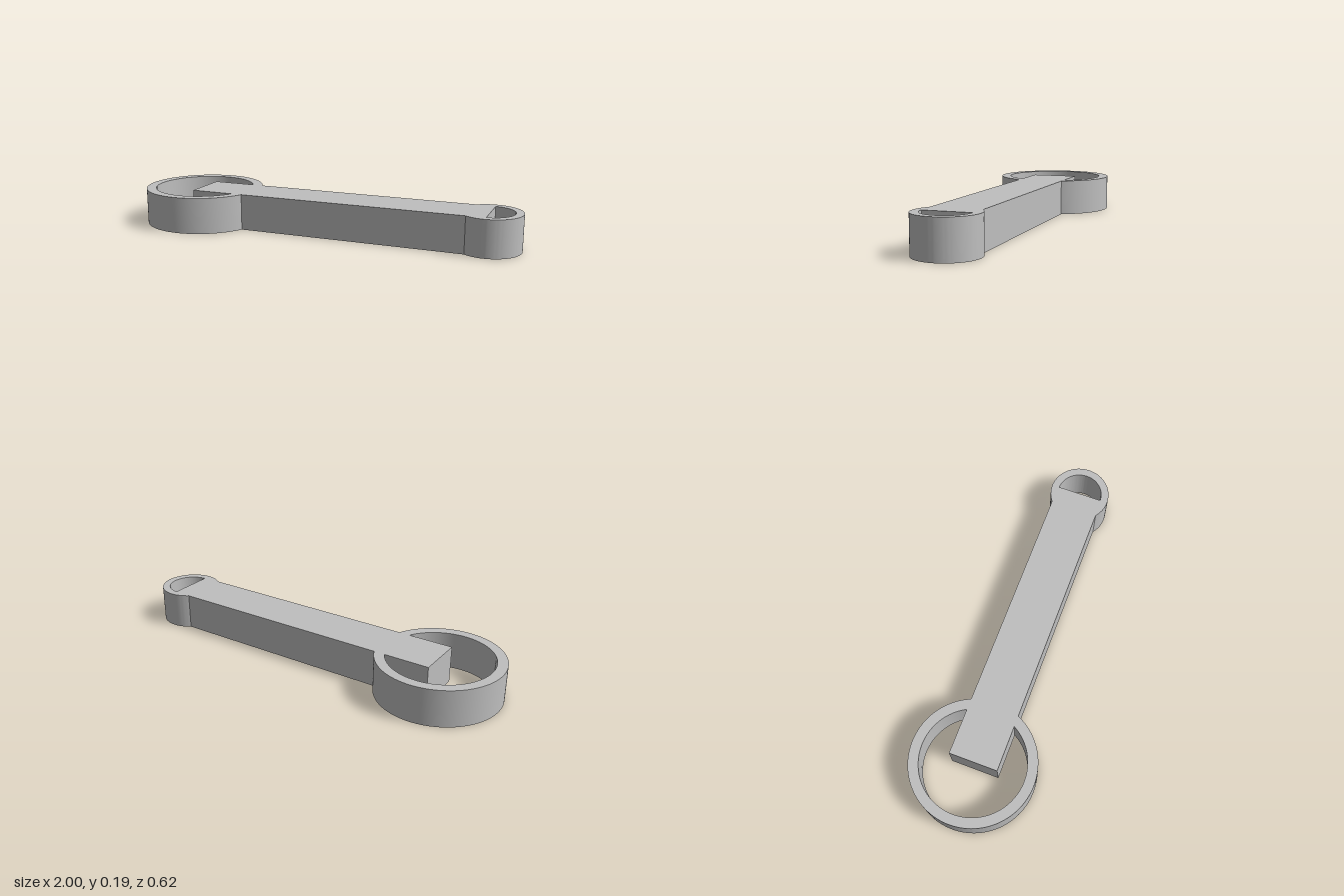
import * as THREE from 'three';
import { toCreasedNormals } from 'three/addons/utils/BufferGeometryUtils.js';

const HEIGHT = 0.185;
const BIG_X = -0.692;
const SMALL_X = 0.846;

// Flat ring standing on y = 0, with smooth walls and sharp rims
function ring(name, x, outer, inner, material) {
  const shape = new THREE.Shape().absarc(0, 0, outer, 0, Math.PI * 2, false);
  shape.holes.push(new THREE.Path().absarc(0, 0, inner, 0, Math.PI * 2, true));
  const geometry = new THREE.ExtrudeGeometry(shape, {
    depth: HEIGHT, bevelEnabled: false, curveSegments: 64,
  });
  geometry.rotateX(-Math.PI / 2);
  const mesh = new THREE.Mesh(toCreasedNormals(geometry, 0.5), material);
  mesh.name = name;
  mesh.position.x = x;
  return mesh;
}

export function createModel() {
  const metal = new THREE.MeshStandardMaterial({ color: 0xbfbfbf });
  metal.name = 'grey metal';

  const group = new THREE.Group();
  group.name = 'connectingRod';

  // Ring at each end
  group.add(ring('bigEndRing', BIG_X, 0.308, 0.258, metal));
  group.add(ring('smallEndRing', SMALL_X, 0.154, 0.115, metal));

  // Straight bar from the centre of one ring to the centre of the other
  const bar = new THREE.Mesh(new THREE.BoxGeometry(SMALL_X - BIG_X, HEIGHT, 0.244), metal);
  bar.name = 'shaft';
  bar.position.set((SMALL_X + BIG_X) / 2, HEIGHT / 2, 0);
  group.add(bar);

  return group;
}
